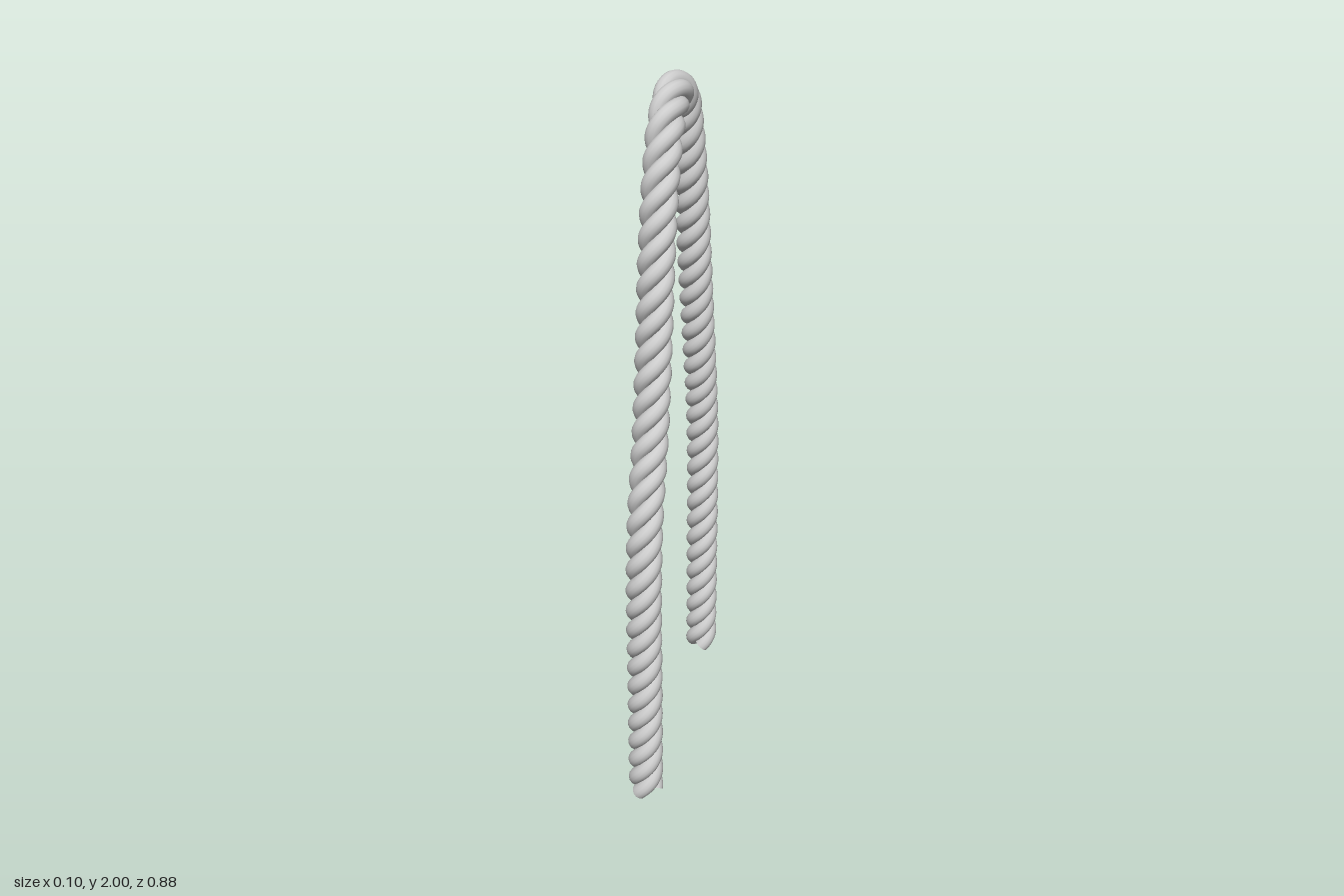
import * as THREE from 'three';

const STRANDS = 3;
const STRAND_RADIUS = 0.0225;
const OFFSET = 0.0257; // strand centre to rope centre
const PITCH = 0.187; // rope length per full twist

// Centre line of the hanging rope as [z, y]
const path = new THREE.CatmullRomCurve3([
  [0.39, 0.06], [0.39, 0.4], [0.39, 0.76], [0.365, 0.94], [0.31, 1.11],
  [0.262, 1.34], [0.217, 1.61], [0.165, 1.79], [0.1, 1.905], [0.01, 1.95],
  [-0.075, 1.905], [-0.137, 1.79], [-0.207, 1.58], [-0.262, 1.34],
  [-0.325, 1.08], [-0.373, 0.865], [-0.39, 0.65], [-0.39, 0.35], [-0.39, 0.015],
].map(([z, y]) => new THREE.Vector3(0, y, z)), false, 'centripetal');
path.arcLengthDivisions = 1000;

// One strand winding round the centre line
class StrandCurve extends THREE.Curve {
  constructor(phase) {
    super();
    this.phase = phase;
    this.turns = path.getLength() / PITCH;
    this.arcLengthDivisions = 1500;
  }
  getPoint(t, target = new THREE.Vector3()) {
    const side = new THREE.Vector3(1, 0, 0);
    const across = path.getTangentAt(t).cross(side).normalize();
    const angle = this.phase + t * this.turns * Math.PI * 2;
    return target.copy(path.getPointAt(t))
      .addScaledVector(side, Math.cos(angle) * OFFSET)
      .addScaledVector(across, Math.sin(angle) * OFFSET);
  }
}

export function createModel() {
  const model = new THREE.Group();
  model.name = 'rope';
  const material = new THREE.MeshStandardMaterial({ color: 0xcccccc });

  for (let i = 0; i < STRANDS; i++) {
    const curve = new StrandCurve((i / STRANDS) * Math.PI * 2);
    const strand = new THREE.Group();
    strand.name = 'strand' + (i + 1);

    const body = new THREE.Mesh(
      new THREE.TubeGeometry(curve, 720, STRAND_RADIUS, 14, false), material);
    body.name = 'strandBody';
    strand.add(body);

    // Flat cut ends
    for (const end of [0, 1]) {
      const cap = new THREE.Mesh(new THREE.CircleGeometry(STRAND_RADIUS, 14), material);
      cap.name = 'strandEnd';
      const outward = curve.getTangentAt(end).multiplyScalar(end ? 1 : -1);
      cap.position.copy(curve.getPointAt(end));
      cap.quaternion.setFromUnitVectors(new THREE.Vector3(0, 0, 1), outward);
      strand.add(cap);
    }
    model.add(strand);
  }
  return model;
}
